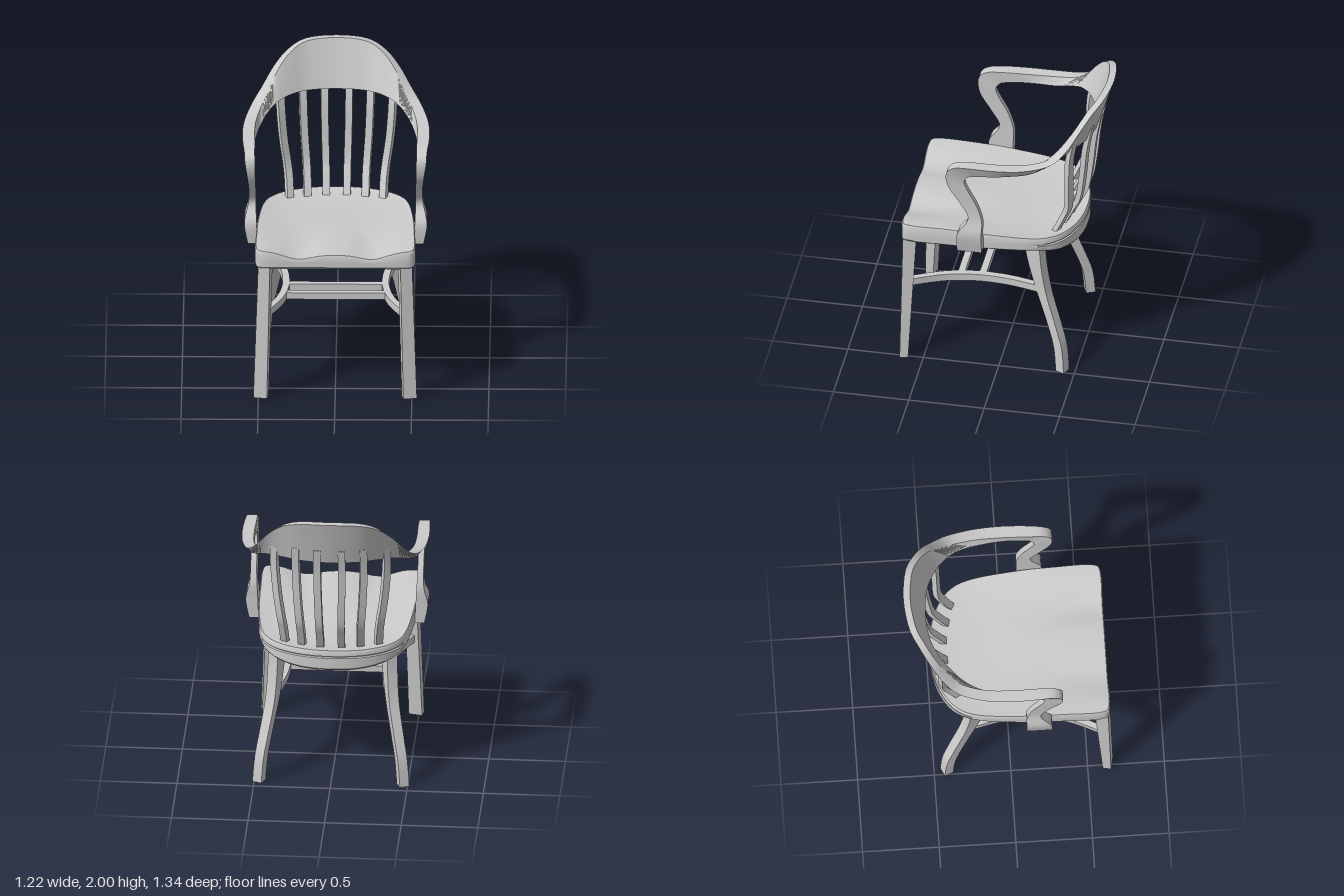
import * as THREE from 'three';
import { toCreasedNormals } from 'three/addons/utils/BufferGeometryUtils.js';

const material = new THREE.MeshStandardMaterial({ color: 0xcccccc });
const { smoothstep } = THREE.MathUtils;

// Smooth curve through rows of numbers, n steps between neighbouring rows
function spline(rows, n) {
  const out = [];
  const at = i => rows[Math.min(Math.max(i, 0), rows.length - 1)];
  for (let i = 0; i < rows.length - 1; i++) {
    for (let k = 0; k < n; k++) {
      const t = k / n;
      out.push(rows[i].map((b, j) => {
        const a = at(i - 1)[j], c = rows[i + 1][j], d = at(i + 2)[j];
        return b + 0.5 * t * (c - a + t * (2 * a - 5 * b + 4 * c - d + t * (3 * (b - c) + d - a)));
      }));
    }
  }
  out.push(rows[rows.length - 1]);
  return out;
}

// Skin over rings of [x, y, z] points with both ends capped; faces always point outward
function loft(name, rings, crease = 0.55) {
  const n = rings[0].length, pos = rings.flat(), index = [];
  for (let i = 0; i < rings.length - 1; i++) {
    for (let j = 0; j < n; j++) {
      const a = i * n + j, b = i * n + (j + 1) % n;
      index.push(a, b, b + n, a, b + n, a + n);
    }
  }
  [rings[0], rings[rings.length - 1]].forEach((ring, e) => {
    const start = e ? (rings.length - 1) * n : 0;
    const mid = pos.push([0, 1, 2].map(c => ring.reduce((sum, p) => sum + p[c], 0) / n)) - 1;
    for (let j = 0; j < n; j++) {
      const a = start + j, b = start + (j + 1) % n;
      if (e) index.push(a, b, mid); else index.push(b, a, mid);
    }
  });
  let volume = 0;
  const v = pos.map(p => new THREE.Vector3(...p));
  for (let i = 0; i < index.length; i += 3) {
    volume += v[index[i]].dot(v[index[i + 1]].clone().cross(v[index[i + 2]]));
  }
  if (volume < 0) index.reverse();
  const geometry = new THREE.BufferGeometry();
  geometry.setAttribute('position', new THREE.Float32BufferAttribute(pos.flat(), 3));
  geometry.setIndex(index);
  const mesh = new THREE.Mesh(toCreasedNormals(geometry, crease), material);
  mesh.name = name;
  return mesh;
}

// Upright bar from rows [x, y, z, width, depth], turned by a; side = -1 mirrors it
function upright(name, rows, a, side, steps = 5) {
  const c = Math.cos(a), s = Math.sin(a);
  return loft(name, spline(rows, steps).map(([x, y, z, w, d]) =>
    [[-1, -1], [1, -1], [1, 1], [-1, 1]].map(([i, j]) => {
      const u = i * w / 2, v = j * d / 2;
      return [side * (x + u * c + v * s), y, z + u * s - v * c];
    })));
}

// Saddled seat with a rounded back, a groove round the rear edge and a bellied underside
function seat() {
  const half = [[0, 0.65], [0.25, 0.65], [0.46, 0.65], [0.505, 0.635], [0.52, 0.58], [0.518, 0.35],
    [0.51, 0.1], [0.478, -0.2], [0.44, -0.31], [0.36, -0.4], [0.2, -0.475], [0, -0.5]];
  const mirrored = half.slice(1, -1).reverse().map(([x, z]) => [-x, z]);
  const curve = new THREE.CatmullRomCurve3(
    [...half, ...mirrored].map(([x, z]) => new THREE.Vector3(x, 0, z)), true);
  const outline = curve.getPoints(110).slice(0, -1);
  const top = (x, z, k) => {
    const front = smoothstep(z, -0.1, 0.6);
    const hollow = 0.055 * Math.exp(-(((Math.abs(x) - 0.24) / 0.13) ** 2)) * front;
    const centre = 0.025 * Math.exp(-((x / 0.15) ** 2)) * front;
    return 1 + 0.04 * smoothstep(z, -0.5, 0.45) - hollow - centre - 0.03 * (1 - k ** 4) * (1 - front);
  };
  const bottom = (x, z) => 0.915 - 0.057 * (1 - smoothstep(z, -0.25, 0.35))
    * Math.max(0, 1 - (Math.abs(x) / 0.47) ** 3);
  const ring = (k, height) => outline.map(p => {
    const back = 1 - smoothstep(p.z, -0.35, -0.2);
    const f = typeof k === 'function' ? k(back) : k;
    const x = p.x * f, z = 0.08 + (p.z - 0.08) * f;
    return [x, height(x, z, f), z];
  });
  return loft('seat', [
    ...[0.08, 0.25, 0.45, 0.65, 0.82, 0.94, 0.985].map(k => ring(k, bottom)),
    ring(1, (x, z) => bottom(x, z) + 0.012),
    ring(1, () => 0.946),
    ring(b => 1 - 0.02 * b, () => 0.95),
    ring(b => 1 - 0.02 * b, () => 0.956),
    ring(1, () => 0.96),
    ring(1, (x, z) => top(x, z, 1) - 0.014),
    ...[0.988, 0.94, 0.82, 0.65, 0.45, 0.25, 0.08].map(k => ring(k, top)),
  ]);
}

// Crest rail sweeping into the arms and down the arm posts as one band.
// Rows: outer top x y z, inner bottom x y z, top and bottom thickness, turn in degrees
function crestRailAndArms() {
  const rows = [
    [0, 2, -0.67, 0, 1.68, -0.525, 0.045, 0.05, 90],
    [0.2, 1.988, -0.645, 0.17, 1.68, -0.505, 0.045, 0.05, 76],
    [0.32, 1.935, -0.585, 0.29, 1.674, -0.45, 0.045, 0.05, 60],
    [0.41, 1.845, -0.52, 0.385, 1.65, -0.375, 0.05, 0.05, 47],
    [0.485, 1.735, -0.445, 0.45, 1.605, -0.295, 0.06, 0.05, 36],
    [0.55, 1.655, -0.35, 0.495, 1.562, -0.19, 0.07, 0.05, 22],
    [0.595, 1.617, -0.18, 0.52, 1.545, -0.06, 0.075, 0.05, 9],
    [0.61, 1.605, 0, 0.53, 1.535, 0.04, 0.08, 0.05],
    [0.605, 1.6, 0.165, 0.53, 1.525, 0.12, 0.078, 0.045],
    [0.595, 1.585, 0.28, 0.53, 1.508, 0.19, 0.068, 0.04],
    [0.59, 1.53, 0.333, 0.525, 1.46, 0.217, 0.065, 0.04],
    [0.575, 1.42, 0.32, 0.525, 1.39, 0.19, 0.052, 0.04],
    [0.565, 1.295, 0.245, 0.525, 1.285, 0.135, 0.045, 0.04],
    [0.57, 1.18, 0.19, 0.52, 1.17, 0.1, 0.05, 0.05],
    [0.595, 1.065, 0.26, 0.515, 1.06, 0.1, 0.08, 0.08],
    [0.572, 0.925, 0.262, 0.51, 0.925, 0.1, 0.062, 0.062],
  ].map(r => [...r.slice(0, 8), r[8] ?? 0]);
  const mirrored = rows.slice(1).reverse().map(([x, y, z, u, v, w, t, b, a]) =>
    [-x, y, z, -u, v, w, t, b, 180 - a]);
  return loft('crestRailAndArms', spline([...mirrored, ...rows], 5).map(([x, y, z, u, v, w, t, b, deg]) => {
    const a = deg * Math.PI / 180, dx = -Math.cos(a), dz = Math.sin(a);
    return [[x, y, z], [x + dx * t, y, z + dz * t], [u, v, w], [u - dx * b, v, w - dz * b]];
  }));
}

// Curved back slat; z offsets follow the round of the seat and of the crest rail
function slat(xLow, xHigh, zLow, zHigh, turn, side) {
  const path = [[0.97, -0.395], [1.1, -0.46], [1.2, -0.505], [1.38, -0.535], [1.6, -0.56], [1.78, -0.6]];
  const rows = path.map(([y, z]) => {
    const t = smoothstep(y, 0.97, 1.6);
    return [xLow + (xHigh - xLow) * t, y, z + zLow + (zHigh - zLow) * t, 0.048, y > 1.7 ? 0.022 : 0.036];
  });
  return upright('backSlat', rows, turn, side);
}

export function createModel() {
  const chair = new THREE.Group();
  chair.name = 'armchair';
  chair.add(seat(), crestRailAndArms());

  for (const side of [1, -1]) {
    // Back slats
    chair.add(
      slat(0.068, 0.08, 0, 0.005, 0.06, side),
      slat(0.19, 0.22, 0.025, 0.035, 0.25, side),
      slat(0.305, 0.365, 0.06, 0.115, 0.5, side));

    // Tapered front legs
    chair.add(upright('frontLeg', [
      [0.455, 0.925, 0.6, 0.078, 0.088],
      [0.483, 0, 0.633, 0.09, 0.055],
    ], -0.2, side, 1));

    // Sabre-curved rear legs
    chair.add(upright('rearLeg', [
      [0.365, 0.93, -0.21, 0.07, 0.125],
      [0.372, 0.75, -0.235, 0.07, 0.1],
      [0.39, 0.55, -0.283, 0.068, 0.075],
      [0.425, 0.35, -0.35, 0.066, 0.066],
      [0.455, 0.18, -0.4, 0.065, 0.064],
      [0.47, 0, -0.417, 0.065, 0.062],
    ], 0.42, side));

    // Side stretchers bowed inward
    const bow = [[0.46, 0.59], [0.365, 0.38], [0.325, 0.17], [0.335, -0.05], [0.385, -0.27]];
    chair.add(loft('sideStretcher', spline(bow, 5).map(([x, z]) =>
      [[-1, -1], [1, -1], [1, 1], [-1, 1]].map(([i, j]) => [side * (x + i * 0.023), 0.57 + j * 0.025, z]))));
  }

  // Pair of cross stretchers
  for (const z of [0.28, 0.14]) {
    const bar = new THREE.Mesh(new THREE.BoxGeometry(0.66, 0.046, 0.045), material);
    bar.name = 'crossStretcher';
    bar.position.set(0, 0.57, z);
    chair.add(bar);
  }
  return chair;
}
